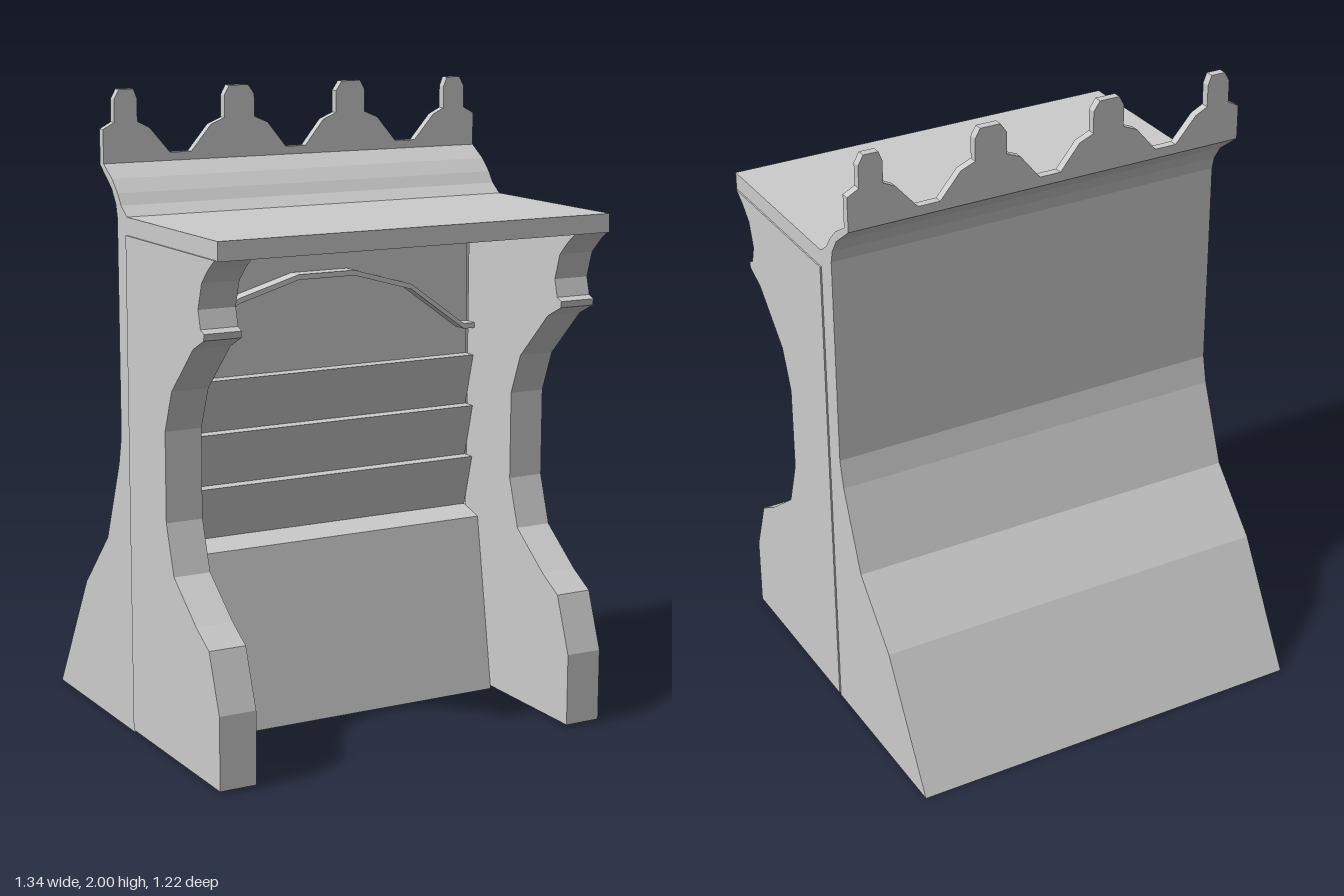
import * as THREE from 'three';

const solid = new THREE.MeshStandardMaterial({ color: 0xcccccc, flatShading: true });
const sheet = new THREE.MeshStandardMaterial({ color: 0xcccccc, flatShading: true, side: THREE.DoubleSide });

const HALF = 0.665;   // half width of the body
const INNER = 0.55;   // half width between the side panels
const BACK = -0.01;   // depth at which panels and body meet

const toShape = (pts) => new THREE.Shape(pts.map(([a, b]) => new THREE.Vector2(a, b)));

function named(name, geometry, material = solid) {
  const mesh = new THREE.Mesh(geometry, material);
  mesh.name = name;
  return mesh;
}

// Closed [z, y] profile swept along x between x0 and x1
function sweepX(pts, x0, x1) {
  const geo = new THREE.ExtrudeGeometry(toShape(pts), { depth: x1 - x0, bevelEnabled: false });
  return geo.rotateY(-Math.PI / 2).translate(x1, 0, 0);
}

// Open [z, y] profile swept along x as a thin sheet
function sheetX(pts, half) {
  const geo = new THREE.PlaneGeometry(2 * half, 1, 1, pts.length - 1);
  const pos = geo.attributes.position;
  for (let i = 0; i < pos.count; i++) {
    const [z, y] = pts[Math.floor(i / 2)];
    pos.setXYZ(i, pos.getX(i), y, z);
  }
  return geo;
}

// Closed [x, y] outline given by its right half, extruded from z0 to z1
function plateZ(pts, z0, z1) {
  return new THREE.ExtrudeGeometry(toShape(pts), { depth: z1 - z0, bevelEnabled: false }).translate(0, 0, z0);
}

const mirror = (half) => half.map(([x, y]) => [-x, y]).reverse();

export function createModel() {
  const model = new THREE.Group();

  // Scrolled side panels
  const panelProfile = [
    [BACK, 0.01], [0.605, 0.01], [0.605, 0.24], [0.54, 0.42], [0.455, 0.47], [0.305, 0.585],
    [0.255, 0.74], [0.255, 1.02], [0.305, 1.15], [0.455, 1.3], [0.525, 1.335], [0.528, 1.355],
    [0.505, 1.365], [0.49, 1.42], [0.515, 1.5], [0.56, 1.545], [0.6, 1.575], [BACK, 1.575],
  ];
  model.add(named('leftSidePanel', sweepX(panelProfile, INNER, 0.67)));
  model.add(named('rightSidePanel', sweepX(panelProfile, -0.67, -INNER)));

  // Flared back sheet and the two side walls that close it
  const backProfile = [
    [-0.08, 1.63], [-0.08, 0.94], [-0.1, 0.85], [-0.2, 0.59], [-0.38, 0.4], [-0.61, 0],
  ];
  model.add(named('backWall', sheetX(backProfile, HALF), sheet));
  for (const side of [-1, 1]) {
    const wall = new THREE.ShapeGeometry(toShape([[BACK, 0], [BACK, 1.63], ...backProfile]));
    wall.rotateY(-Math.PI / 2).translate(side * HALF, 0, 0);
    model.add(named(side > 0 ? 'leftWall' : 'rightWall', wall, sheet));
  }

  // Front: sloping base, ledge, three overhanging boards and the flat upper wall
  const frontProfile = [[0.16, 0], [0.065, 0.57], [-0.02, 0.595]];
  for (const top of [0.765, 0.937, 1.107]) frontProfile.push([0.025, top], [-0.02, top]);
  frontProfile.push([-0.02, 1.57]);
  model.add(named('frontWall', sheetX(frontProfile.reverse(), INNER), sheet));

  // Raised arch moulding on the upper wall
  const archHalf = [[0.1, 1.42], [0.31, 1.36], [0.51, 1.215], [INNER, 1.215]];
  const archTop = [...mirror(archHalf), ...archHalf];
  const archBottom = archTop.map(([x, y]) => [x, y - 0.017]).reverse();
  model.add(named('archMoulding', plateZ([...archTop, ...archBottom], -0.03, 0.03)));

  // Flat top slab
  const slab = new THREE.BoxGeometry(2 * HALF, 0.058, 0.62);
  slab.translate(0, 1.601, 0.3);
  model.add(named('topSlab', slab));

  // Curved cornice sweeping up and back from the slab
  const cornice = [
    [BACK, 1.57], [BACK, 1.63], [-0.05, 1.66], [-0.075, 1.695], [-0.115, 1.735], [-0.178, 1.775],
    [-0.205, 1.77], [-0.12, 1.705], [-0.09, 1.66], [-0.08, 1.62], [-0.08, 1.57],
  ];
  model.add(named('cornice', sweepX(cornice, -HALF, HALF)));

  // Crest with four pointed finials
  const crestHalf = [
    [0.035, 1.8], [0.1, 1.88], [0.147, 1.9], [0.147, 1.97], [0.168, 2], [0.235, 2], [0.252, 1.97],
    [0.252, 1.9], [0.3, 1.88], [0.368, 1.8], [0.44, 1.8], [0.51, 1.88], [0.55, 1.9], [0.55, 1.97],
    [0.562, 2], [0.61, 2], [0.627, 1.97], [0.627, 1.9], [HALF, 1.88], [HALF, 1.77],
  ];
  model.add(named('crest', plateZ([...mirror(crestHalf), ...crestHalf], -0.205, -0.178)));

  return model;
}
